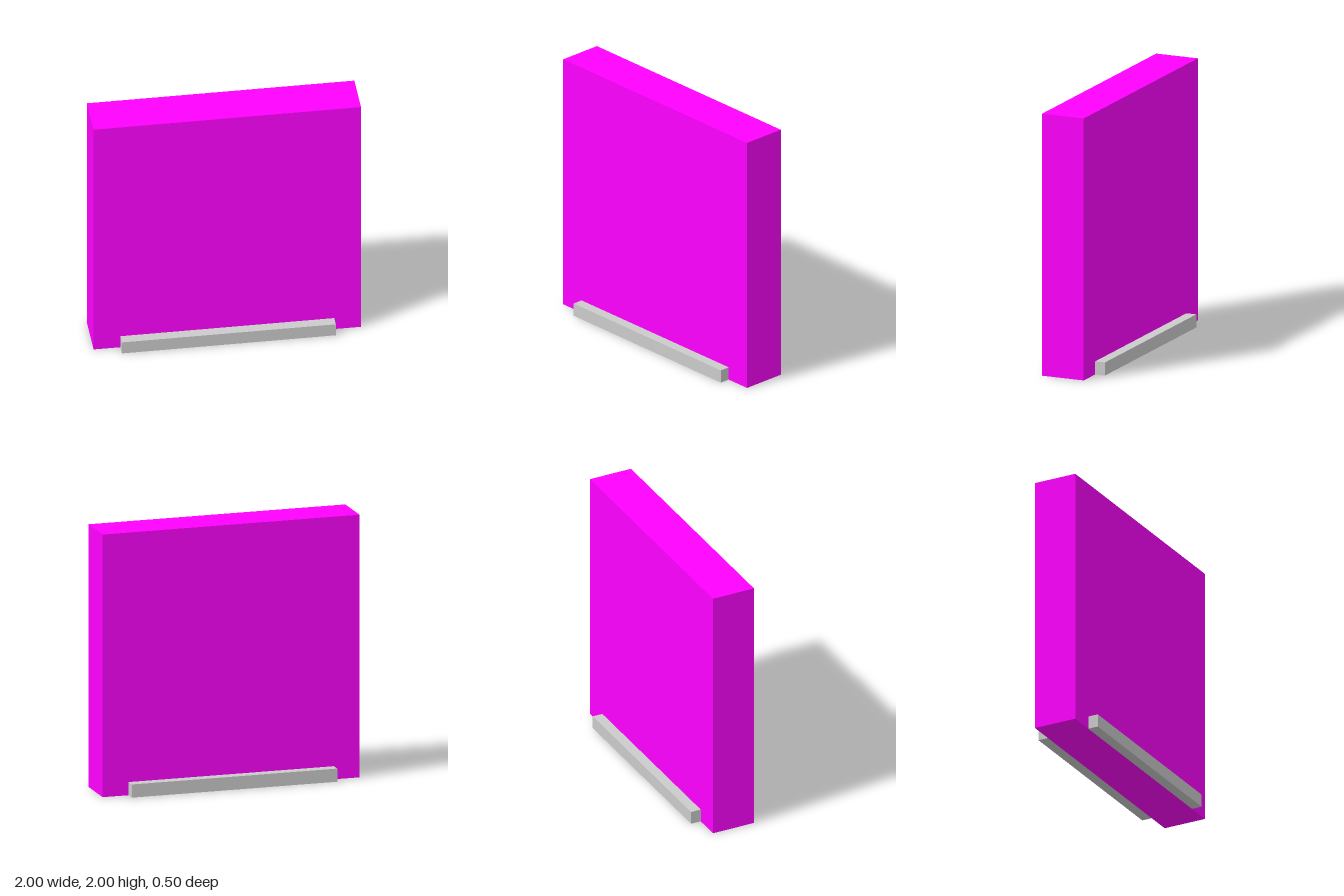
import * as THREE from 'three';

export function createModel() {
  const model = new THREE.Group();
  const panelDepth = 0.34, railDepth = 0.08;

  const panelMaterial = new THREE.MeshStandardMaterial({ color: 0xff00ff });
  const railMaterial = new THREE.MeshStandardMaterial({ color: 0xcccccc });

  function addBox(name, w, h, d, z, material) {
    const mesh = new THREE.Mesh(new THREE.BoxGeometry(w, h, d), material);
    mesh.name = name;
    mesh.position.set(0, h / 2, z);
    model.add(mesh);
  }

  // Upright square panel
  addBox('panel', 2, 2, panelDepth, 0, panelMaterial);

  // Foot rails along the bottom of both faces
  for (const side of [1, -1]) {
    const z = side * (panelDepth + railDepth) / 2;
    addBox(side > 0 ? 'frontFootRail' : 'backFootRail', 1.6, 0.1, railDepth, z, railMaterial);
  }

  return model;
}
